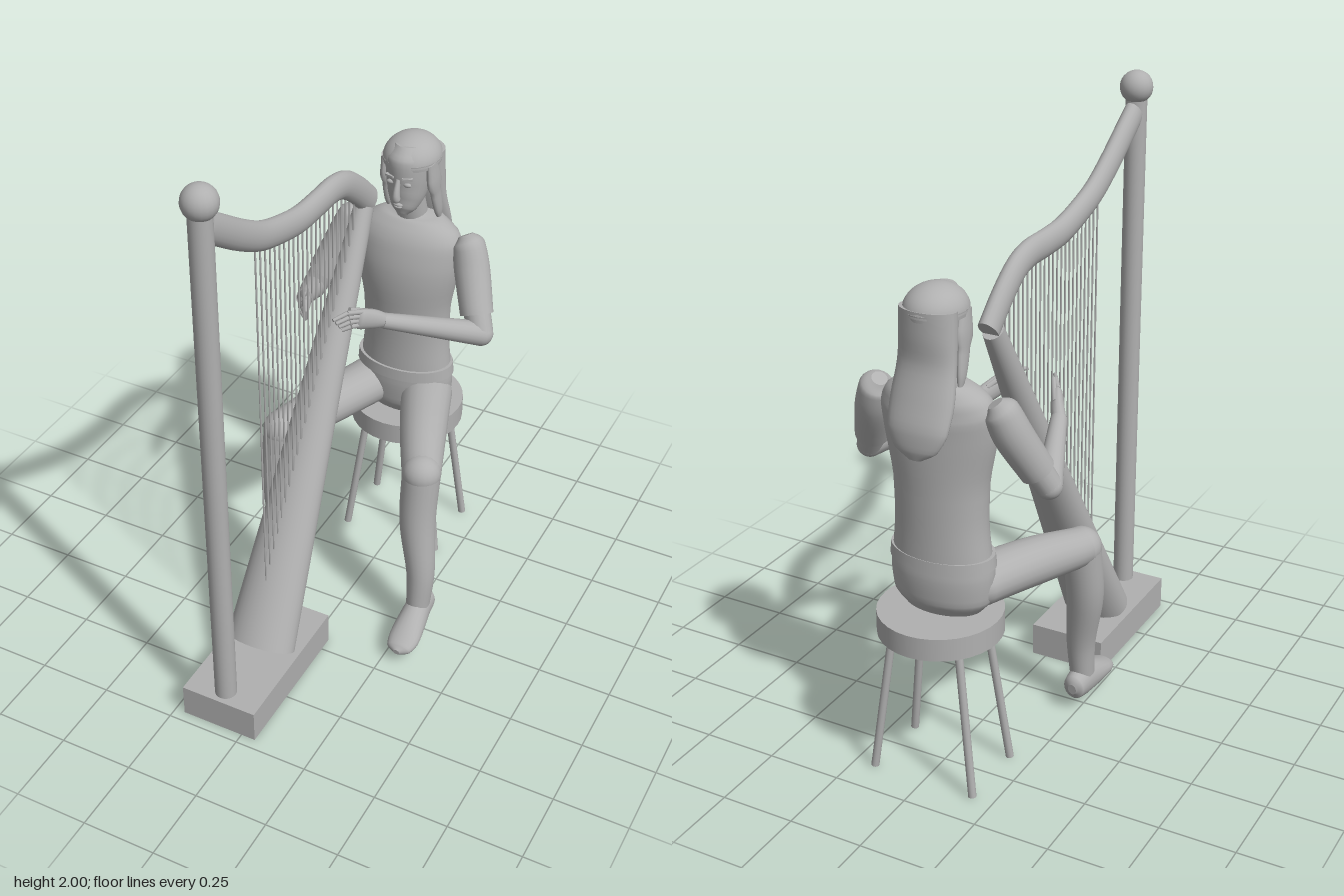
import * as THREE from 'three';

const stone = new THREE.MeshStandardMaterial({ color: 0xb0b0b0 });
stone.name = 'plain grey';
const V = (x, y, z) => new THREE.Vector3(x, y, z);
const HX = -0.083; // centre plane of the harp

export function createModel() {
  const root = new THREE.Group();

  function add(name, geo, x = 0, y = 0, z = 0, parent = root) {
    const m = new THREE.Mesh(geo, stone);
    m.name = name;
    m.position.set(x, y, z);
    parent.add(m);
    return m;
  }

  function group(name) {
    const g = new THREE.Group();
    g.name = name;
    root.add(g);
    return g;
  }

  // Smooth skin over elliptical sections [x, y, z, halfSide, halfRef] along a path
  function loft(name, secs, ref = V(0, 0, 1), parent = root, sub = 5, seg = 20) {
    const path = new THREE.CatmullRomCurve3(secs.map(s => V(s[0], s[1], s[2])));
    const size = new THREE.CatmullRomCurve3(secs.map(s => V(s[3], s[4], 0)));
    const n = (secs.length - 1) * sub, pos = [], idx = [];
    const ring = (i) => {
      const c = path.getPoint(i / n), t = path.getTangent(i / n), r = size.getPoint(i / n);
      const u = V().crossVectors(ref, t).normalize(), v = V().crossVectors(t, u);
      for (let j = 0; j < seg; j++) {
        const a = j / seg * Math.PI * 2;
        const p = c.clone().addScaledVector(u, Math.cos(a) * Math.max(r.x, 0.001))
          .addScaledVector(v, Math.sin(a) * Math.max(r.y, 0.001));
        pos.push(p.x, p.y, p.z);
      }
      return c;
    };
    for (let i = 0; i <= n; i++) ring(i);
    for (let i = 0; i < n; i++) for (let j = 0; j < seg; j++) {
      const a = i * seg + j, b = i * seg + (j + 1) % seg;
      idx.push(a, b, a + seg, b, b + seg, a + seg);
    }
    // separate end caps keep their rims sharp
    for (const i of [0, n]) {
      const base = pos.length / 3, c = ring(i), mid = pos.length / 3;
      pos.push(c.x, c.y, c.z);
      for (let j = 0; j < seg; j++) {
        const a = base + j, b = base + (j + 1) % seg;
        idx.push(...(i ? [a, b, mid] : [b, a, mid]));
      }
    }
    const g = new THREE.BufferGeometry();
    g.setAttribute('position', new THREE.Float32BufferAttribute(pos, 3));
    g.setIndex(idx);
    g.computeVertexNormals();
    return add(name, g, 0, 0, 0, parent);
  }

  function rod(name, a, b, ra, rb, parent, seg = 12) {
    const d = b.clone().sub(a);
    const m = add(name, new THREE.CylinderGeometry(rb, ra, d.length(), seg), 0, 0, 0, parent);
    m.position.copy(a).add(b).multiplyScalar(0.5);
    m.quaternion.setFromUnitVectors(V(0, 1, 0), d.normalize());
    return m;
  }

  const ball = (name, r, p, parent) => add(name, new THREE.SphereGeometry(r, 20, 14), p.x, p.y, p.z, parent);

  // Harp frame
  const harp = group('harp');
  add('harpBase', new THREE.BoxGeometry(0.265, 0.115, 0.515), HX, 0.0575, 0.4575, harp);
  rod('column', V(HX, 0.11, 0.663), V(HX, 1.92, 0.663), 0.036, 0.036, harp, 24);
  ball('columnKnob', 0.055, V(HX, 1.945, 0.661), harp);
  loft('soundbox', [[HX, 0.135, 0.43, 0.12, 0.087], [HX, 1.427, -0.313, 0.032, 0.037]], V(0, 0.5, 0.87), harp, 6, 32);
  const neck = [[0.645, 1.862], [0.57, 1.81], [0.456, 1.732], [0.35, 1.672], [0.244, 1.635], [0.12, 1.606],
    [0, 1.6], [-0.09, 1.598], [-0.165, 1.578], [-0.25, 1.52], [-0.342, 1.435]];
  loft('neck', neck.map(([z, y]) => [HX, y, z, 0.031, 0.046]), V(0, 1, 0), harp, 4);

  // Strings from the soundbox face up into the neck
  for (let i = 0; i < 23; i++) {
    const z = 0.383 - i * 0.0283;
    const k = neck.findIndex(p => p[0] < z), [z0, y0] = neck[k - 1], [z1, y1] = neck[k];
    const top = y0 + (y1 - y0) * (z - z0) / (z1 - z0);
    const low = 0.18 + (0.515 - z) * 1.589 - 0.02;
    rod('string', V(HX, low, z), V(HX, top, z), 0.003, 0.003, harp, 6);
  }

  // Stool
  const stool = group('stool');
  add('stoolSeat', new THREE.CylinderGeometry(0.198, 0.198, 0.075, 32), -0.004, 0.535, -0.513, stool);
  for (const sx of [1, -1]) for (const sz of [1, -1])
    rod('stoolLeg', V(sx * 0.178, 0.003, -0.513 + sz * 0.122), V(sx * 0.115, 0.51, -0.513 + sz * 0.088), 0.013, 0.013, stool);

  // Torso, hips and belt
  const player = group('player');
  loft('torso', [[0, 0.74, -0.487, 0.165, 0.108], [0, 0.88, -0.487, 0.152, 0.108], [0, 1.0, -0.485, 0.155, 0.112],
    [0, 1.15, -0.484, 0.182, 0.117], [0, 1.24, -0.495, 0.188, 0.108], [0, 1.29, -0.505, 0.165, 0.09],
    [0, 1.325, -0.51, 0.11, 0.068], [0, 1.34, -0.51, 0.05, 0.05]], undefined, player, 4, 32);
  add('belt', new THREE.CylinderGeometry(0.172, 0.176, 0.04, 32).scale(1, 1, 0.655), 0, 0.75, -0.484, player);
  loft('hips', [[0, 0.575, -0.485, 0.13, 0.08], [0, 0.62, -0.485, 0.165, 0.105], [0, 0.7, -0.485, 0.172, 0.112],
    [0, 0.735, -0.484, 0.17, 0.111]], undefined, player, 4, 32);
  loft('throat', [[0, 1.3, -0.51, 0.055, 0.055], [0, 1.43, -0.475, 0.046, 0.05]], undefined, player);

  // Head and face
  loft('head', [[0, 1.362, -0.425, 0.018, 0.02], [0, 1.38, -0.435, 0.04, 0.042], [0, 1.42, -0.455, 0.06, 0.067],
    [0, 1.48, -0.475, 0.073, 0.09], [0, 1.55, -0.485, 0.078, 0.1], [0, 1.6, -0.49, 0.05, 0.07]], undefined, player, 4, 24);
  loft('nose', [[0, 1.505, -0.391, 0.007, 0.008], [0, 1.455, -0.377, 0.012, 0.015], [0, 1.437, -0.378, 0.014, 0.014],
    [0, 1.43, -0.385, 0.004, 0.004]], undefined, player, 4, 12);
  for (const [y, w] of [[1.411, 0.017], [1.403, 0.014]])
    add('lip', new THREE.SphereGeometry(1, 12, 8).scale(w, 0.005, 0.008), 0, y, -0.393, player);
  for (const s of [1, -1]) {
    add('eye', new THREE.SphereGeometry(1, 12, 8).scale(0.014, 0.008, 0.008), s * 0.03, 1.488, -0.396, player);
    const brow = add('brow', new THREE.BoxGeometry(0.034, 0.007, 0.012), s * 0.031, 1.511, -0.393, player);
    brow.rotation.y = s * 0.3;
  }

  // Hair: crown, long back fall and side locks
  add('hairCrown', new THREE.SphereGeometry(1, 28, 14, 0, Math.PI * 2, 0, Math.PI * 0.5).scale(0.096, 0.08, 0.108), 0, 1.542, -0.497, player);
  add('hairBand', new THREE.CylinderGeometry(0.096, 0.094, 0.02, 28).scale(1, 1, 1.125), 0, 1.542, -0.497, player);
  loft('hairFall', [[0, 1.56, -0.54, 0.092, 0.063], [0, 1.48, -0.545, 0.094, 0.056], [0, 1.39, -0.555, 0.097, 0.043],
    [0, 1.29, -0.585, 0.105, 0.04], [0, 1.21, -0.615, 0.1, 0.034], [0, 1.15, -0.628, 0.07, 0.022],
    [0, 1.12, -0.633, 0.02, 0.008]], undefined, player, 4, 28);
  for (const s of [1, -1])
    loft('hairLock', [[s * 0.08, 1.55, -0.47, 0.014, 0.03], [s * 0.086, 1.44, -0.492, 0.014, 0.03],
      [s * 0.09, 1.36, -0.512, 0.012, 0.022], [s * 0.09, 1.31, -0.525, 0.004, 0.006]], undefined, player, 4, 14);

  for (const s of [1, -1]) {
    const side = s > 0 ? 'left' : 'right';
    const h = d => HX + s * d; // hands mirror about the harp

    // Arm
    loft(side + 'Sleeve', [[s * 0.195, 1.29, -0.505, 0.025, 0.025], [s * 0.21, 1.265, -0.497, 0.053, 0.055],
      [s * 0.235, 1.19, -0.475, 0.06, 0.06], [s * 0.285, 1.06, -0.415, 0.055, 0.057]], undefined, player);
    const elbow = V(s * 0.312, 1.005, -0.392), wrist = V(h(0.145), 1.115, -0.165);
    rod(side + 'UpperArm', V(s * 0.26, 1.12, -0.44), elbow, 0.048, 0.042, player, 18);
    ball(side + 'Elbow', 0.042, elbow, player);
    rod(side + 'Forearm', elbow, wrist, 0.042, 0.026, player, 18);

    // Hand reaching for the strings
    loft(side + 'Palm', [[h(0.155), 1.11, -0.18, 0.022, 0.02], [h(0.125), 1.132, -0.135, 0.022, 0.034],
      [h(0.1), 1.152, -0.09, 0.018, 0.036], [h(0.092), 1.156, -0.08, 0.008, 0.02]], V(0, 1, 0), player, 4, 14);
    for (let i = 0; i < 4; i++) {
      const y = 1.182 - i * 0.016;
      const knuckle = V(h(0.075 + i * 0.004), y + 0.008, -0.05);
      rod(side + 'Finger', V(h(0.105), y - 0.004, -0.095), knuckle, 0.009, 0.008, player, 8);
      rod(side + 'Fingertip', knuckle, V(h(0.048 + i * 0.006), y, -0.003 - i * 0.009), 0.008, 0.006, player, 8);
    }
    rod(side + 'Thumb', V(h(0.12), 1.155, -0.14), V(h(0.075), 1.195, -0.065), 0.011, 0.008, player, 8);

    // Leg
    const ax = s > 0 ? 0.295 : -0.24, fx = s > 0 ? 0.306 : -0.232;
    const knee = V(s * 0.262, 0.632, -0.062);
    loft(side + 'Thigh', [[s * 0.085, 0.655, -0.5, 0.07, 0.06], [s * 0.1, 0.655, -0.45, 0.088, 0.076],
      [s * 0.18, 0.648, -0.25, 0.08, 0.076], [knee.x, knee.y, knee.z, 0.066, 0.064]], V(0, 1, 0), player);
    ball(side + 'Knee', 0.066, knee, player);
    loft(side + 'Shin', [[knee.x, knee.y, knee.z, 0.065, 0.064], [s * 0.265, 0.45, -0.036, 0.062, 0.06],
      [ax, 0.25, -0.008, 0.048, 0.05], [ax, 0.12, 0.005, 0.04, 0.045]], undefined, player);

    // Shoe with a flattened sole
    const shoe = loft(side + 'Shoe', [[ax, 0.09, -0.072, 0.015, 0.02], [ax, 0.092, -0.058, 0.036, 0.044],
      [ax, 0.092, 0, 0.043, 0.056], [(ax + fx) / 2, 0.08, 0.07, 0.05, 0.048], [fx, 0.066, 0.14, 0.053, 0.032],
      [fx, 0.058, 0.18, 0.042, 0.022], [fx, 0.056, 0.198, 0.012, 0.01]], V(0, 1, 0), player);
    const p = shoe.geometry.attributes.position;
    for (let i = 0; i < p.count; i++) p.setY(i, Math.max(p.getY(i), 0.045));
    shoe.geometry.computeVertexNormals();
  }

  return root;
}
